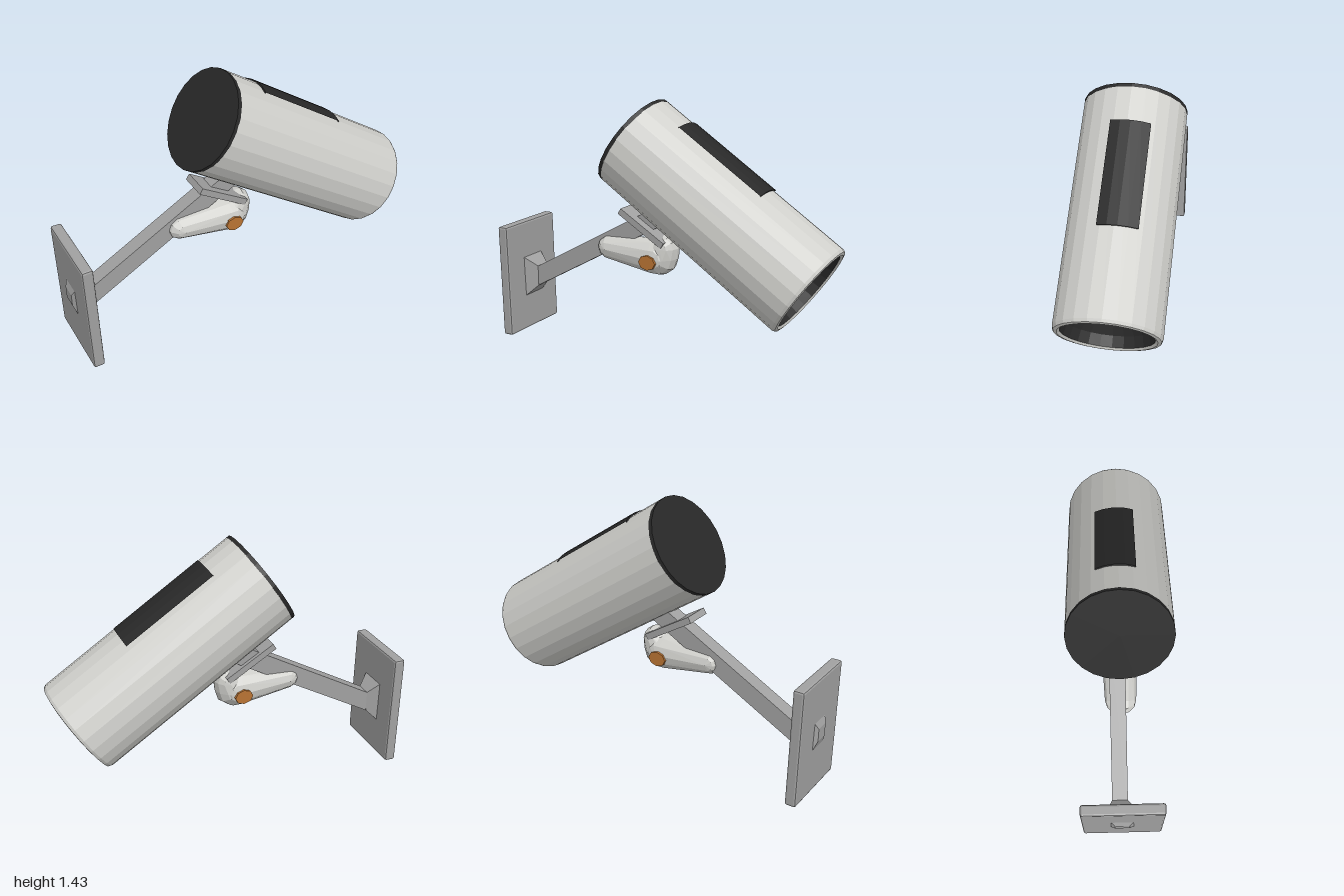
import * as THREE from 'three';
import { RoundedBoxGeometry } from 'three/addons/geometries/RoundedBoxGeometry.js';
import { ConvexGeometry } from 'three/addons/geometries/ConvexGeometry.js';

const mat = (name, color, extra = {}) => {
  const m = new THREE.MeshStandardMaterial({ color, flatShading: true, ...extra });
  m.name = name;
  return m;
};

export function createModel() {
  const model = new THREE.Group();
  model.name = 'securityCamera';
  const shell = mat('light grey shell', 0xcfcfcb);
  const metal = mat('bracket grey', 0xa0a0a0);
  const dark = mat('near black', 0x282828, { side: THREE.DoubleSide });
  const copper = mat('copper', 0xb87333);

  const add = (name, geometry, material, parent = model) => {
    const mesh = new THREE.Mesh(geometry, material);
    mesh.name = name;
    parent.add(mesh);
    return mesh;
  };
  const profile = (pairs) => pairs.map(([r, y]) => new THREE.Vector2(r, y));
  const v = (x, y, z) => new THREE.Vector3(x, y, z);

  // Corners of an upright rectangle in the plane x
  const rect = (x, y0, y1, z0, z1) => [v(x, y0, z0), v(x, y0, z1), v(x, y1, z0), v(x, y1, z1)];

  // Points of a low-poly ball, for rounded hulls
  const ball = (x, y, rx, ry, rz) => {
    const pos = new THREE.SphereGeometry(1, 10, 6).rotateX(Math.PI / 2).attributes.position;
    return Array.from({ length: pos.count }, (_, i) =>
      v(x + pos.getX(i) * rx, y + pos.getY(i) * ry, pos.getZ(i) * rz));
  };

  // Straight bar with a rectangular section between two points in the xy plane
  const bar = (name, a, b, thick, width, z) => {
    const dx = b[0] - a[0], dy = b[1] - a[1];
    const mesh = add(name, new THREE.BoxGeometry(Math.hypot(dx, dy), thick, width), metal);
    mesh.position.set((a[0] + b[0]) / 2, (a[1] + b[1]) / 2, z);
    mesh.rotation.z = Math.atan2(dy, dx);
  };

  // Tilted housing: its local y axis runs to the lens end, local -x is its top
  const housing = new THREE.Group();
  housing.name = 'housing';
  housing.position.set(0.326, 0.852, 0);
  housing.rotation.z = THREE.MathUtils.degToRad(-123.4);
  model.add(housing);

  add('housingTube', new THREE.LatheGeometry(profile([
    [0.275, -0.608], [0.275, 0.608], [0.268, 0.624], [0.25, 0.628], [0.236, 0.618],
  ]), 24), shell, housing);
  add('lensBowl', new THREE.LatheGeometry(profile([
    [0.236, 0.618], [0.222, 0.56], [0.17, 0.5], [0.09, 0.465], [0, 0.455],
  ]), 24), dark, housing);
  add('rearCap', new THREE.CylinderGeometry(0.275, 0.275, 0.022, 24), dark, housing)
    .position.y = -0.617;
  add('topPanel', new THREE.LatheGeometry(profile([
    [0.276, -0.416], [0.283, -0.416], [0.283, 0.147], [0.276, 0.147],
  ]), 4, THREE.MathUtils.degToRad(245.2), THREE.MathUtils.degToRad(42.8)), dark, housing);

  // Wall plate with a flared socket in front and a low boss behind
  const plate = add('wallPlate', new RoundedBoxGeometry(0.062, 0.655, 0.45, 1, 0.012), metal);
  plate.position.set(-0.953, 0.33, -0.002);
  plate.rotation.z = 0.018;
  add('armSocket', new ConvexGeometry([
    ...rect(-0.93, 0.2, 0.45, -0.09, 0.08),
    ...rect(-0.86, 0.27, 0.39, -0.058, 0.028),
  ]), metal);
  add('rearBoss', new ConvexGeometry([
    ...rect(-0.975, 0.24, 0.44, -0.08, 0.07),
    ...rect(-1, 0.31, 0.38, -0.045, 0.035),
  ]), metal);

  // Arm from the wall plate up into the housing
  bar('arm', [-0.88, 0.319], [0.02, 0.827], 0.104, 0.086, -0.015);

  // Swivel joint: tapered body, raised knuckle, saddle strip and pivot pin
  add('jointBody', new ConvexGeometry([
    ...ball(-0.35, 0.58, 0.078, 0.072, 0.085),
    ...ball(-0.045, 0.565, 0.1, 0.105, 0.1),
  ]), shell);
  add('jointKnuckle', new ConvexGeometry([
    ...ball(-0.03, 0.565, 0.1, 0.1, 0.09),
    ...ball(0.005, 0.625, 0.07, 0.07, 0.08),
  ]), shell);
  bar('saddleStrip', [-0.25, 0.812], [0.02, 0.65], 0.036, 0.16, 0);
  const pin = add('pivotPin', new THREE.CylinderGeometry(0.052, 0.052, 0.212, 8), copper);
  pin.position.set(-0.062, 0.55, 0);
  pin.rotation.x = Math.PI / 2;
  pin.scale.z = 0.8;

  return model;
}
